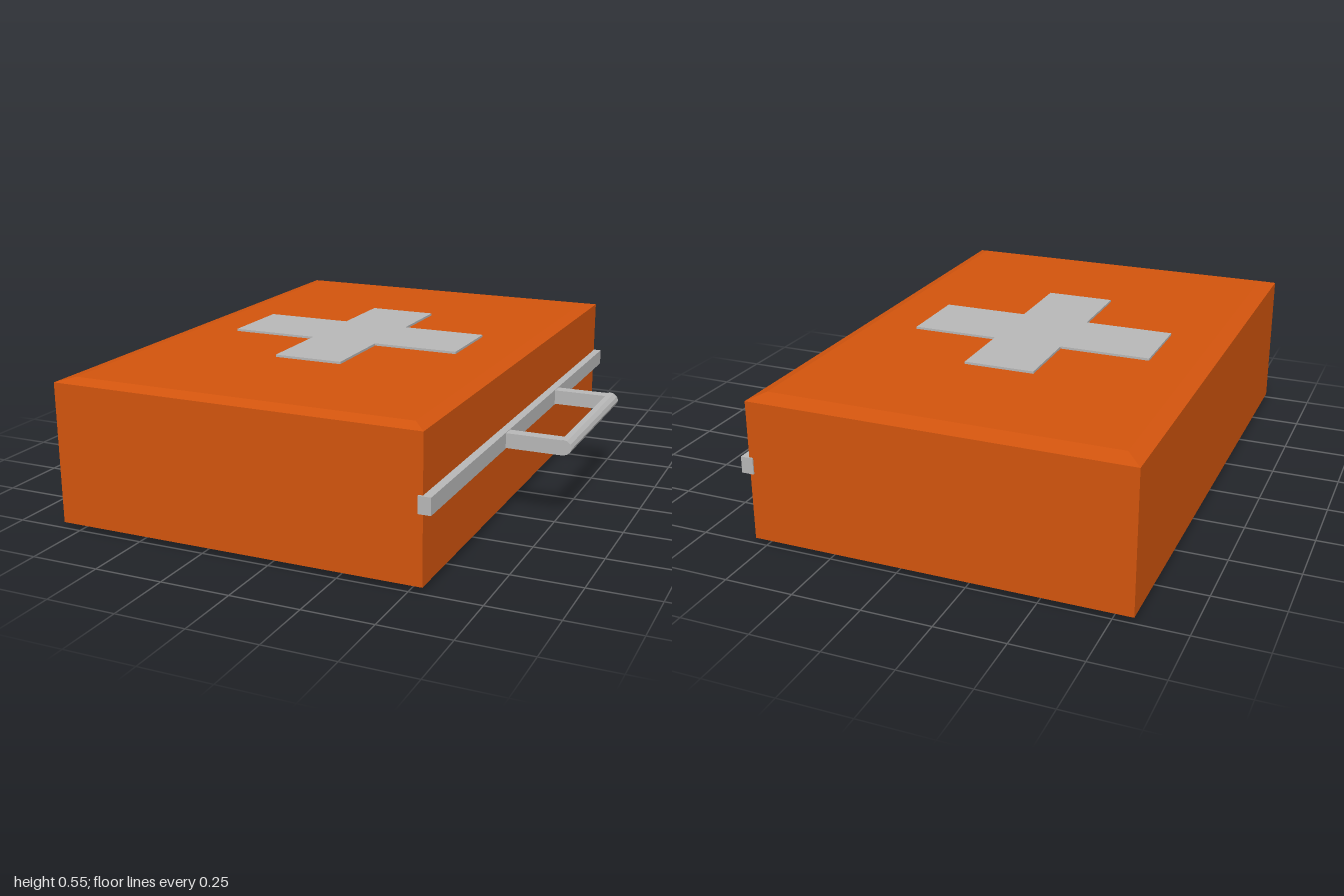
import * as THREE from 'three';

const orange = new THREE.MeshStandardMaterial({ color: 0xd2540d });
orange.name = 'orange shell';
const grey = new THREE.MeshStandardMaterial({ color: 0xb7b7b7 });
grey.name = 'light grey';

function addMesh(group, name, geometry, material) {
  const mesh = new THREE.Mesh(geometry, material);
  mesh.name = name;
  group.add(mesh);
  return mesh;
}

// Box given by its limits on each axis
function addBox(group, name, [x0, x1], [y0, y1], [z0, z1], material) {
  const mesh = addMesh(group, name, new THREE.BoxGeometry(x1 - x0, y1 - y0, z1 - z0), material);
  mesh.position.set((x0 + x1) / 2, (y0 + y1) / 2, (z0 + z1) / 2);
}

// Joins rectangles [y, x0, x1, z0, z1] from bottom to top into a faceted solid
function loftRectangles(levels) {
  const rings = levels.map(([y, x0, x1, z0, z1]) =>
    [[x0, y, z1], [x1, y, z1], [x1, y, z0], [x0, y, z0]]);
  const points = [];
  const quad = (a, b, c, d) => points.push(...a, ...b, ...c, ...a, ...c, ...d);
  for (let i = 0; i < rings.length - 1; i++) {
    for (let k = 0; k < 4; k++) {
      const n = (k + 1) % 4;
      quad(rings[i][k], rings[i][n], rings[i + 1][n], rings[i + 1][k]);
    }
  }
  const [a, b, c, d] = rings[0];
  quad(d, c, b, a);
  quad(...rings[rings.length - 1]);
  const geometry = new THREE.BufferGeometry();
  geometry.setAttribute('position', new THREE.Float32BufferAttribute(points, 3));
  geometry.computeVertexNormals();
  return geometry;
}

export function createModel() {
  const model = new THREE.Group();
  model.name = 'firstAidCase';

  // Case with shallow bevels round the top and bottom
  addMesh(model, 'caseBody', loftRectangles([
    [0, -0.765, 0.5, -0.925, 0.94],
    [0.018, -0.82, 0.545, -0.995, 0.992],
    [0.53, -0.82, 0.545, -0.995, 0.992],
    [0.545, -0.76, 0.5, -0.925, 0.945],
  ]), orange);

  // Raised cross on the lid
  const [l, il, ir, r] = [-0.6, -0.265, -0.005, 0.318];
  const [b, ib, it, t] = [-0.43, -0.13, 0.162, 0.437];
  const cross = new THREE.Shape([
    [il, b], [ir, b], [ir, ib], [r, ib], [r, it], [ir, it],
    [ir, t], [il, t], [il, it], [l, it], [l, ib], [il, ib],
  ].map(([x, y]) => new THREE.Vector2(x, y)));
  const crossGeometry = new THREE.ExtrudeGeometry(cross, { depth: 0.009, bevelEnabled: false });
  crossGeometry.rotateX(-Math.PI / 2);
  addMesh(model, 'lidCross', crossGeometry, grey).position.y = 0.5445;

  // Closing strip along the handle side
  addBox(model, 'seamStrip', [0.53, 0.575], [0.265, 0.325], [-1, 1], grey);

  // Carrying handle: two arms and a rounded grip
  const handle = new THREE.Group();
  handle.name = 'handle';
  model.add(handle);
  addBox(handle, 'rearArm', [0.57, 0.782], [0.268, 0.323], [-0.35, -0.304], grey);
  addBox(handle, 'frontArm', [0.57, 0.782], [0.268, 0.323], [0.25, 0.295], grey);
  const grip = new THREE.Shape([
    [0.778, 0.268], [0.797, 0.272], [0.81, 0.283], [0.816, 0.297],
    [0.81, 0.312], [0.797, 0.323], [0.778, 0.326],
  ].map(([x, y]) => new THREE.Vector2(x, y)));
  const gripGeometry = new THREE.ExtrudeGeometry(grip, { depth: 0.65, bevelEnabled: false });
  addMesh(handle, 'grip', gripGeometry, grey).position.z = -0.354;

  return model;
}
